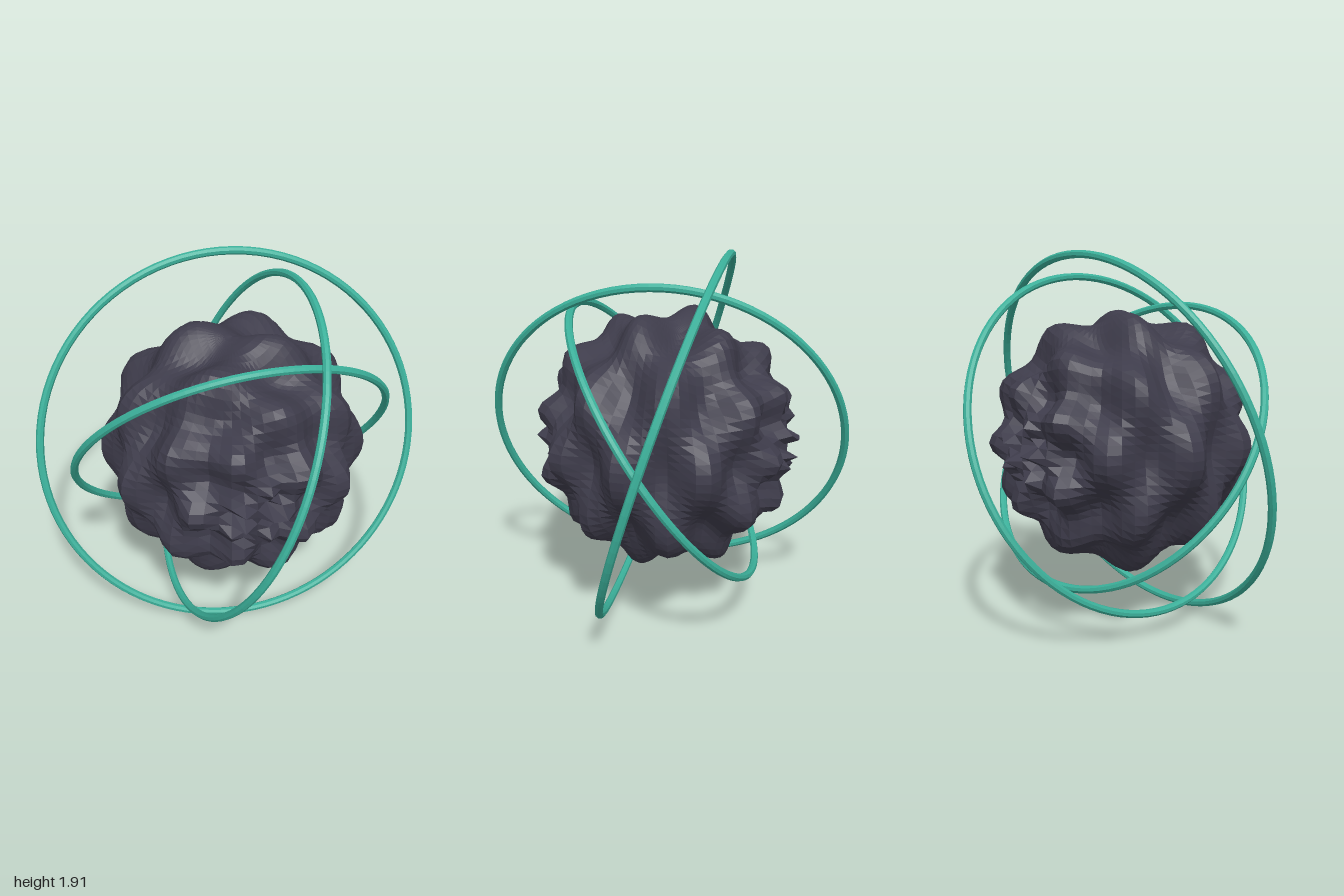
import * as THREE from 'three';

const CENTER_Y = 0.957;

export function createModel() {
  const model = new THREE.Group();
  const rock = new THREE.MeshStandardMaterial({ color: 0x3e3c4b, flatShading: true });
  rock.name = 'dark rock';
  const teal = new THREE.MeshStandardMaterial({ color: 0x3bb09a, flatShading: true });
  teal.name = 'teal metal';

  // Lumpy core: a sphere pushed in and out by waves around and along the z axis
  const coreGeo = new THREE.SphereGeometry(1, 64, 48);
  const pos = coreGeo.attributes.position;
  const v = new THREE.Vector3();
  for (let i = 0; i < pos.count; i++) {
    v.fromBufferAttribute(pos, i).normalize();
    const around = Math.atan2(v.y, v.x);
    const along = Math.asin(THREE.MathUtils.clamp(v.z, -1, 1));
    v.multiplyScalar(0.62 + 0.07 * Math.cos(5 * around) * Math.sin(10 * along));
    pos.setXYZ(i, v.x, v.y, v.z);
  }
  coreGeo.computeVertexNormals();
  const core = new THREE.Mesh(coreGeo, rock);
  core.name = 'lumpyCore';
  core.position.y = CENTER_Y;
  model.add(core);

  // Three tilted orbit rings, each given by its radius and axis
  const addRing = (name, radius, axis) => {
    const ring = new THREE.Mesh(new THREE.TorusGeometry(radius, 0.02, 8, 96), teal);
    ring.name = name;
    ring.position.y = CENTER_Y;
    ring.quaternion.setFromUnitVectors(
      new THREE.Vector3(0, 0, 1), new THREE.Vector3(...axis).normalize());
    model.add(ring);
  };
  addRing('outerRing', 0.98, [0.02, 0.3, 0.95]);
  addRing('middleRing', 0.905, [0.915, -0.395, -0.05]);
  addRing('innerRing', 0.825, [0.085, -0.57, 0.815]);

  return model;
}
